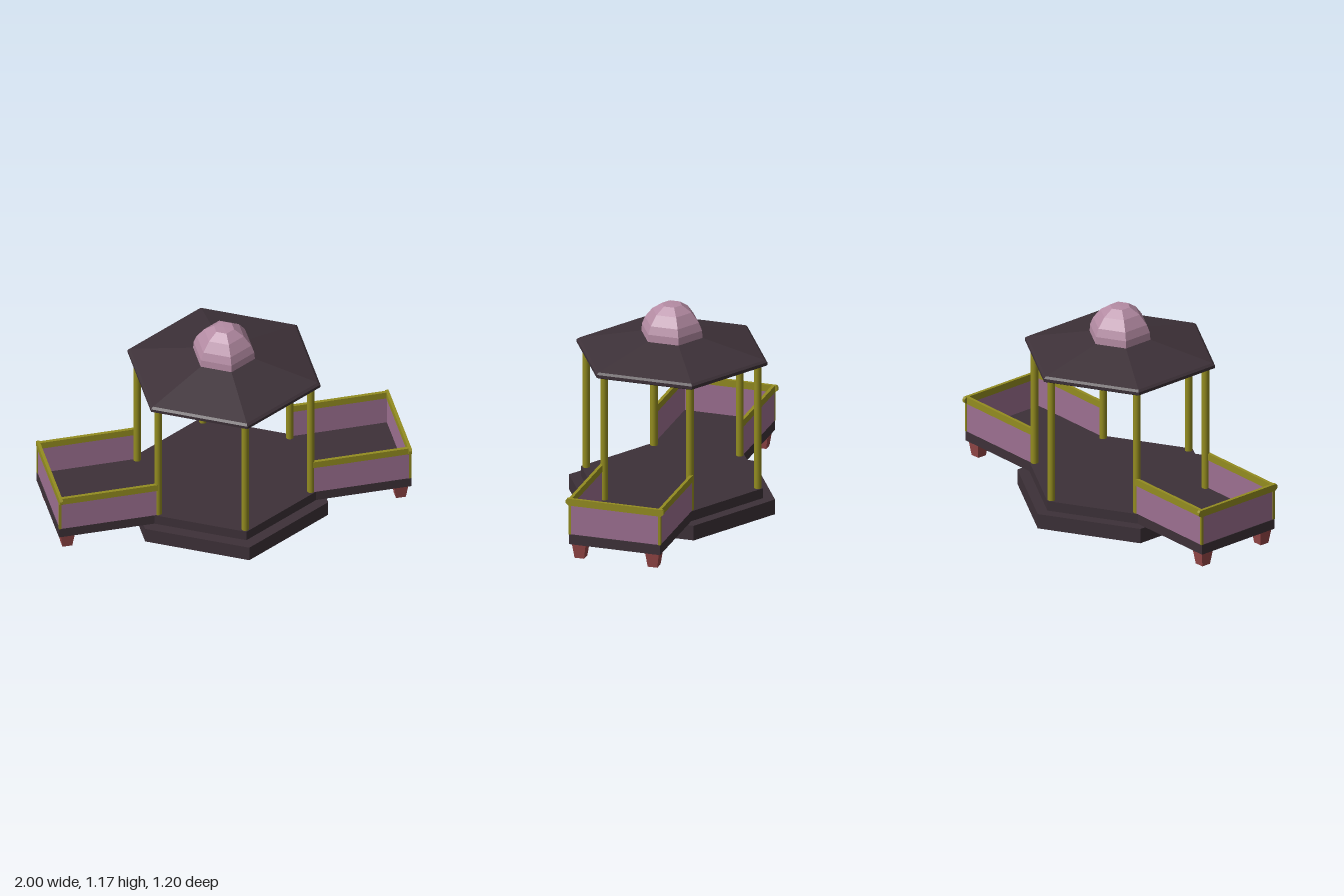
import * as THREE from 'three';

const mat = (color, extra = {}) => new THREE.MeshStandardMaterial({ color, ...extra });

export function createModel() {
  const group = new THREE.Group();
  const dark = mat(0x3d3138, { flatShading: true });
  const shell = mat(0x3d3138, { flatShading: true, side: THREE.DoubleSide });
  const pink = mat(0x9c6f90);
  const domeMat = mat(0xb58ca4, { flatShading: true });
  const olive = mat(0x938c20);
  const red = mat(0x964848, { flatShading: true });

  const add = (parent, name, geometry, material, x = 0, y = 0, z = 0) => {
    const mesh = new THREE.Mesh(geometry, material);
    mesh.name = name;
    mesh.position.set(x, y, z);
    parent.add(mesh);
    return mesh;
  };
  // Hexagonal solid of revolution with corners on the z axis
  const hex = (points) =>
    new THREE.LatheGeometry(points.map(([r, y]) => new THREE.Vector2(r, y)), 6);
  // Box given by its limits
  const box = (parent, name, material, x0, x1, y0, y1, z0, z1) =>
    add(parent, name, new THREE.BoxGeometry(x1 - x0, y1 - y0, z1 - z0), material,
      (x0 + x1) / 2, (y0 + y1) / 2, (z0 + z1) / 2);

  // Stepped platform, hollow underneath
  add(group, 'platform',
    hex([[0.6, 0], [0.6, 0.087], [0.53, 0.087], [0.53, 0.145], [0, 0.145]]), shell);

  // Roof with a bevelled rim and flat ceiling
  add(group, 'roof', hex([[0, 0.87], [0.54, 0.87], [0.555, 0.878], [0.555, 0.895],
    [0.54, 0.906], [0.178, 0.993], [0, 0.993]]), dark);

  // Faceted dome
  add(group, 'dome', hex([[0.178, 0.99], [0.175, 1.035], [0.157, 1.08],
    [0.114, 1.135], [0.058, 1.172], [0, 1.174]]), domeMat);

  // Posts at the six corners
  const postGeometry = new THREE.CylinderGeometry(0.021, 0.021, 0.74, 16);
  for (let i = 0; i < 6; i++) {
    const a = (i * Math.PI) / 3;
    add(group, 'post', postGeometry, olive, 0.5 * Math.sin(a), 0.505, 0.5 * Math.cos(a));
  }

  // End rail outline: a bar with chamfered ends
  const outline = new THREE.Shape([[-0.27, 0.315], [0.27, 0.315], [0.285, 0.328], [0.285, 0.345],
    [0.277, 0.355], [-0.277, 0.355], [-0.285, 0.345], [-0.285, 0.328]]
    .map(([x, y]) => new THREE.Vector2(x, y)));
  const endRail = new THREE.ExtrudeGeometry(outline, { depth: 0.018, bevelEnabled: false });

  // Tapered square foot
  const footGeometry = new THREE.CylinderGeometry(0.04 * Math.SQRT2, 0.028 * Math.SQRT2, 0.087, 4);
  footGeometry.rotateY(Math.PI / 4);

  // Side wings, one turned half round to face the other way
  for (const turn of [0, Math.PI]) {
    const wing = new THREE.Group();
    wing.name = turn ? 'rightWing' : 'leftWing';
    wing.rotation.y = turn;
    group.add(wing);

    box(wing, 'wingFloor', dark, 0.459, 1, 0.087, 0.145, -0.265, 0.265);
    box(wing, 'endPanel', pink, 0.986, 0.996, 0.145, 0.32, -0.262, 0.262);
    add(wing, 'endRail', endRail, olive, 0.982).rotation.y = Math.PI / 2;

    for (const s of [-1, 1]) {
      const z = s * 0.261;
      box(wing, 'sidePanel', pink, 0.44, 0.986, 0.145, 0.32, z - 0.005, z + 0.005);
      box(wing, 'sideRail', olive, 0.44, 0.99, 0.315, 0.355, z - 0.009, z + 0.009);
      box(wing, 'cornerPost', olive, 0.986, 1, 0.145, 0.32, z - 0.007, z + 0.007);
      add(wing, 'foot', footGeometry, red, 0.947, 0.0435, s * 0.213);
    }
  }
  return group;
}
